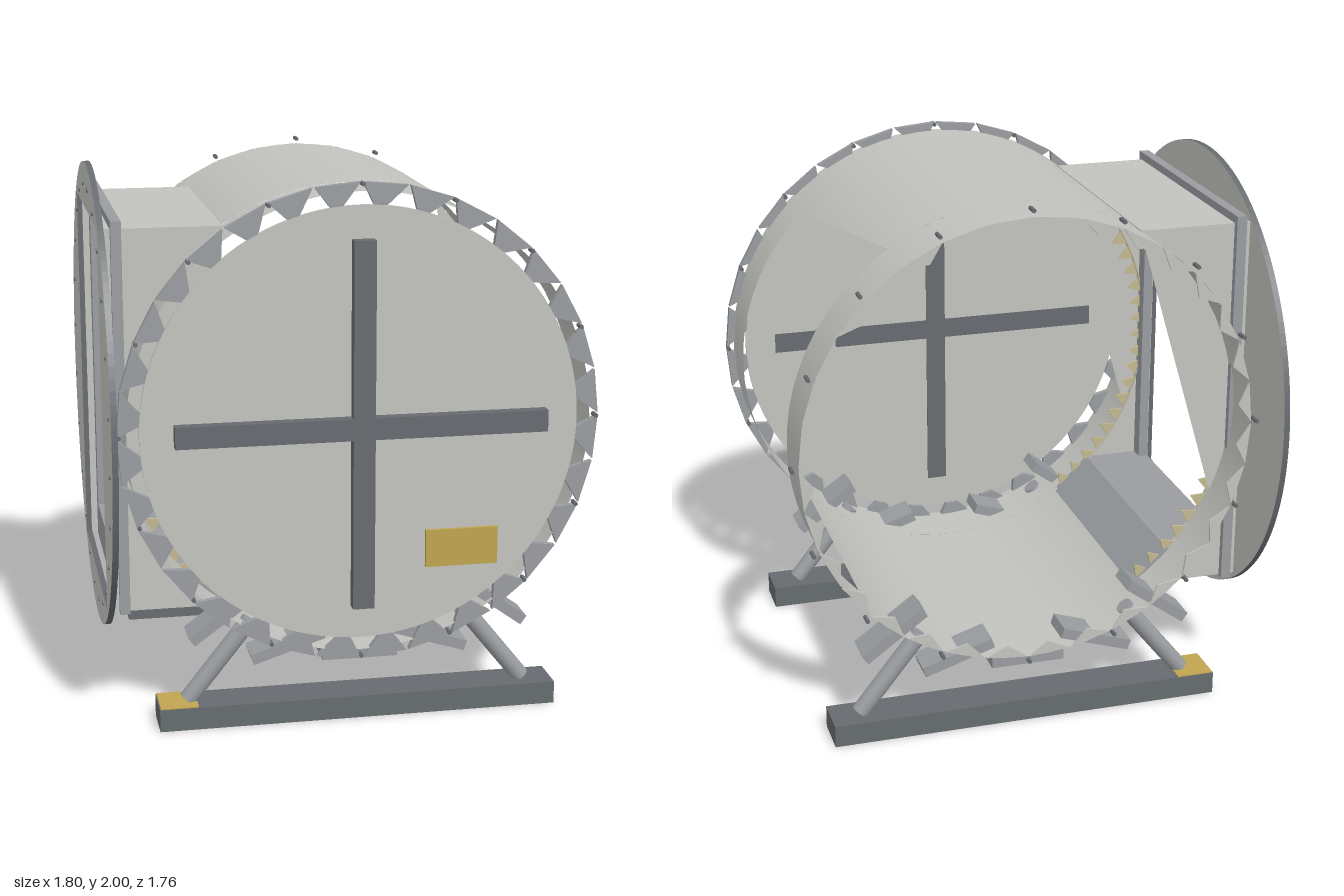
import * as THREE from 'three';

const CX = 0.013, CY = 1.12, R = 0.848; // drum axis and radius
const rad = THREE.MathUtils.degToRad;

export function createModel() {
  const model = new THREE.Group();
  const mat = (name, color, side = THREE.FrontSide) => {
    const m = new THREE.MeshStandardMaterial({ color, side });
    m.name = name;
    return m;
  };
  const shellGrey = mat('shell grey', 0xc2c2be, THREE.DoubleSide);
  const steel = mat('steel grey', 0x999ca0, THREE.DoubleSide);
  const dark = mat('dark steel', 0x666b6f);
  const gold = mat('brass yellow', 0xbfa44f);
  const pale = mat('pale brass', 0xc2b78e, THREE.DoubleSide);

  const add = (name, geometry, material, x = 0, y = 0, z = 0, parent = model) => {
    const mesh = new THREE.Mesh(geometry, material);
    mesh.name = name;
    mesh.position.set(x, y, z);
    parent.add(mesh);
    return mesh;
  };
  // box given by its limits on each axis
  const box = (name, material, [x0, x1], [y0, y1], [z0, z1], parent) =>
    add(name, new THREE.BoxGeometry(x1 - x0, y1 - y0, z1 - z0), material,
      (x0 + x1) / 2, (y0 + y1) / 2, (z0 + z1) / 2, parent);
  const polar = (r, a) => new THREE.Vector2(CX + r * Math.cos(a), CY + r * Math.sin(a));
  const extrude = (shape, depth) =>
    new THREE.ExtrudeGeometry(shape, { depth, bevelEnabled: false, curveSegments: 64 });

  // curved patch of the drum skin; the end angle may vary along z
  const skin = (name, a0, a1, z0, z1) => {
    const g = new THREE.PlaneGeometry(1, 1, 72, 6);
    const p = g.attributes.position, n = g.attributes.normal;
    for (let i = 0; i < p.count; i++) {
      const u = p.getX(i) + 0.5, v = p.getY(i) + 0.5;
      const start = a0(v), a = rad(start + (a1 - start) * u);
      const q = polar(R, a);
      p.setXYZ(i, q.x, q.y, z0 + (z1 - z0) * v);
      n.setXYZ(i, Math.cos(a), Math.sin(a), 0);
    }
    add(name, g, shellGrey);
  };
  skin('drumFrontBand', () => 0, 360, 0.455, 0.68);
  skin('drumBackBand', () => 0, 360, -0.68, -0.455);
  skin('drumRoof', v => Math.atan2(0.71 - 0.11 * v, 0.465 + 0.13 * v) * 180 / Math.PI, 123.5, -0.455, 0.455);
  skin('drumFloor', () => 236.5, 315, -0.455, 0.455);

  // jagged rims: one slanted tooth per step
  const teeth = (name, material, points, count, from, step, z, depth) => {
    const shapes = [];
    for (let i = 0; i < count; i++) {
      const a = from + i * step;
      shapes.push(new THREE.Shape(points.map(([r, t]) => polar(r, rad(a + t * step)))));
    }
    add(name, extrude(shapes, depth), material, 0, 0, z);
  };
  const step = 360 / 32;
  teeth('frontFlangeTeeth', steel, [[0.80, 0.45], [0.80, 0.75], [0.88, 1], [0.88, 0.05]], 32, 0, step, 0.655, 0.025);
  teeth('backRimTeeth', shellGrey, [[0.80, 0.55], [0.85, 1], [0.85, 0.05]], 32, 0, step, -0.68, 0.008);
  for (const z of [-0.475, 0.465])
    teeth('ductSeamTeeth', pale, [[0.795, 0.5], [0.855, 0.95], [0.855, 0.05]], 22, 125, 5, z, 0.008);

  // rim bolts
  for (let i = 0; i < 16; i++) {
    const q = polar(0.872, i * Math.PI / 8);
    for (const z of [-0.662, 0.668]) {
      const length = z < 0 ? 0.045 : 0.04;
      add('rimBolt', new THREE.CylinderGeometry(0.008, 0.008, length, 8), dark, q.x, q.y, z).rotation.x = Math.PI / 2;
    }
  }

  // front plate with its cross brace and plaque
  add('frontPlate', new THREE.CylinderGeometry(0.8, 0.8, 0.012, 96), shellGrey, CX, CY, 0.674).rotation.x = Math.PI / 2;
  box('crossBarVertical', dark, [-0.027, 0.053], [0.445, 1.8], [0.665, 0.726]);
  box('crossBarHorizontal', dark, [-0.665, 0.692], [1.08, 1.16], [0.666, 0.725]);
  box('plaque', gold, [0.25, 0.52], [0.58, 0.72], [0.68, 0.695]);

  // side duct: walls cut to the drum curve, roof and floor
  const wall = new THREE.Shape();
  wall.moveTo(-0.88, 0.41);
  wall.lineTo(-0.455, 0.41);
  wall.absarc(CX, CY, R, rad(236.5), rad(123.5), true);
  wall.lineTo(-0.88, 1.83);
  wall.closePath();
  for (const z of [-0.49, 0.48]) add('ductWall', extrude(wall, 0.01), shellGrey, 0, 0, z);
  box('ductRoof', shellGrey, [-0.88, -0.455], [1.82, 1.83], [-0.49, 0.49]);
  const sill = new THREE.Shape([[-0.855, 0.41], [-0.455, 0.41], [-0.6, 0.545], [-0.855, 0.545]]
    .map(([x, y]) => new THREE.Vector2(x, y)));
  add('ductFloor', extrude(sill, 0.96), steel, 0, 0, -0.48);

  // plates standing across the x axis, with a rectangular hole
  const rect = (w, y0, y1) => new THREE.Path([[-w, y0], [w, y0], [w, y1], [-w, y1]]
    .map(([x, y]) => new THREE.Vector2(x, y)));
  const sidePlate = (name, outline, hole, depth, x, material) => {
    outline.holes.push(hole);
    add(name, extrude(outline, depth), material, x).rotation.y = Math.PI / 2;
  };
  sidePlate('ductFrame', new THREE.Shape(rect(0.515, 0.405, 1.86).getPoints()),
    rect(0.42, 0.545, 1.77), 0.038, -0.855, steel);
  const disc = new THREE.Shape().absarc(0, CY, 0.88, 0, Math.PI * 2, false);
  sidePlate('sideDisc', disc, rect(0.485, 0.415, 1.825), 0.022, -0.9, [shellGrey, dark]);
  for (let i = 0; i < 24; i++) {
    const a = (i + 0.5) * Math.PI / 12;
    add('discScrew', new THREE.CylinderGeometry(0.01, 0.01, 0.006, 8), dark,
      -0.901, CY + 0.8 * Math.sin(a), 0.8 * Math.cos(a)).rotation.z = Math.PI / 2;
  }

  // front and back cradles
  for (const z of [-0.595, 0.595]) {
    const cradle = new THREE.Group();
    cradle.name = z > 0 ? 'frontCradle' : 'backCradle';
    model.add(cradle);
    box('beam', dark, [-0.733, 0.76], [0, 0.085], [z - 0.08, z + 0.08], cradle);
    box('footPad', gold, [-0.73, -0.59], [0.085, 0.089], [z - 0.078, z + 0.078], cradle);
    for (const s of [-1, 1]) {
      const a = new THREE.Vector3(CX + s * 0.635, 0.09, z), b = new THREE.Vector3(CX + s * 0.4, 0.385, z);
      const d = b.clone().sub(a), m = a.clone().add(b).multiplyScalar(0.5);
      const leg = add('leg', new THREE.CylinderGeometry(0.033, 0.033, d.length(), 24), steel, m.x, m.y, z, cradle);
      leg.quaternion.setFromUnitVectors(new THREE.Vector3(0, 1, 0), d.normalize());
    }
    for (const deg of [-36, -18, 0, 18, 36]) {
      const t = rad(deg);
      add('saddlePad', new THREE.BoxGeometry(0.28, 0.04, 0.13), steel,
        CX + 0.87 * Math.sin(t), CY - 0.87 * Math.cos(t), z, cradle).rotation.z = -t;
    }
  }
  return model;
}
